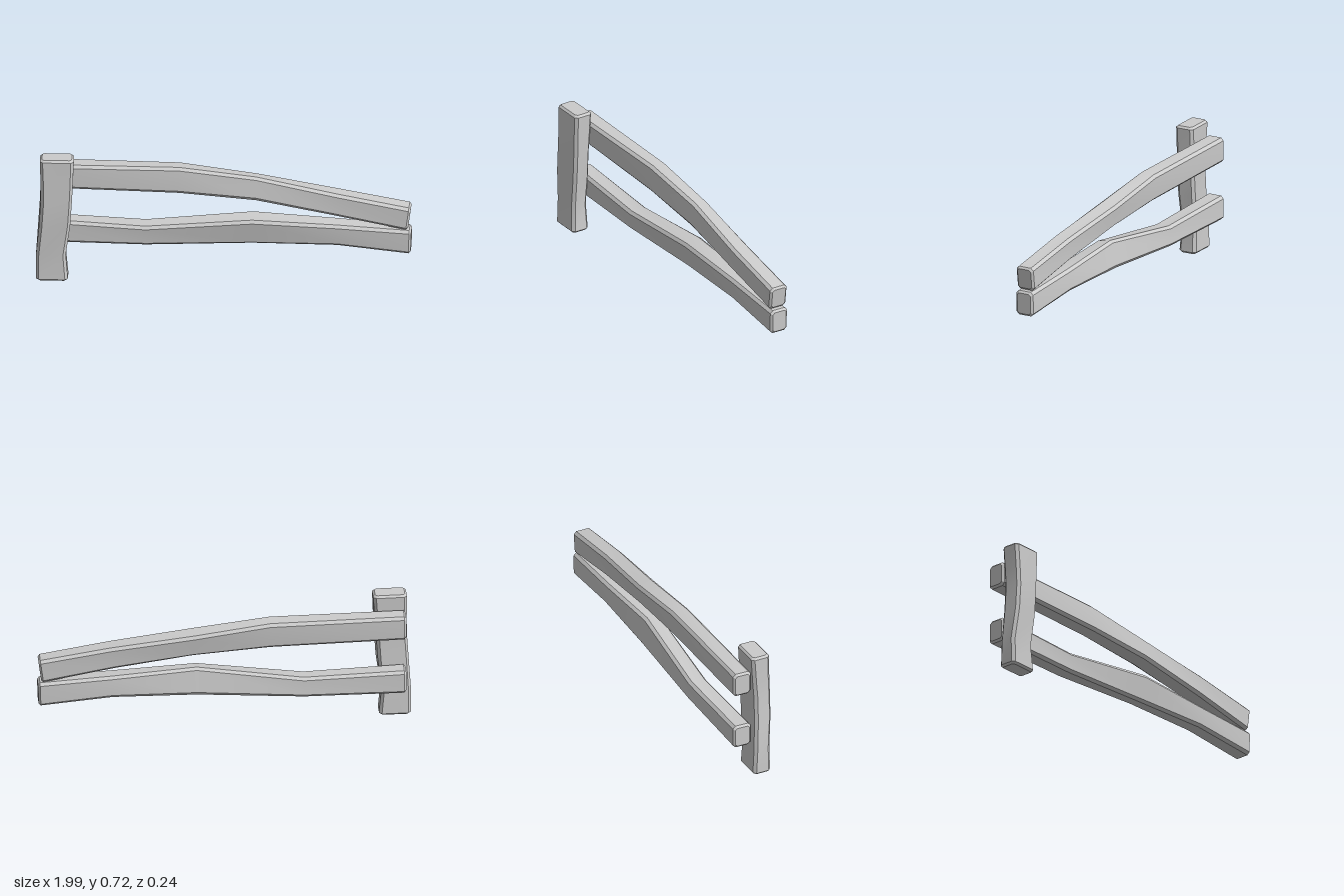
import * as THREE from 'three';
import { toCreasedNormals } from 'three/addons/utils/BufferGeometryUtils.js';

const material = new THREE.MeshStandardMaterial({ color: 0xcccccc });
const BEVEL = 0.015;

// Chamfered plank lofted through stations: { s, u, v, hu, hv, twist, tilt }
// s runs along the plank; u, v are the section centre; hu, hv its half sizes.
function plank(name, stations, place) {
  const n = stations.length;
  const rings = [];
  const addRing = (st, ds, inset) => {
    const { s, u, v, hu, hv, twist = 0, tilt = 0 } = st;
    const a = hu - inset, b = hv - inset, c = BEVEL - inset * 0.4;
    const outline = [
      [a, -b + c], [a, b - c], [a - c, b], [-a + c, b],
      [-a, b - c], [-a, -b + c], [-a + c, -b], [a - c, -b],
    ];
    const cs = Math.cos(twist), sn = Math.sin(twist);
    rings.push(outline.map(([p, q]) =>
      place(s + ds + tilt * p, u + p * cs - q * sn, v + p * sn + q * cs)));
  };
  // Bevelled start, body, bevelled end
  addRing(stations[0], 0, 0.011);
  stations.forEach((st, i) => addRing(st, i === 0 ? 0.011 : i === n - 1 ? -0.011 : 0, 0));
  addRing(stations[n - 1], 0, 0.011);

  const positions = [];
  const tri = (a, b, c) => positions.push(...a, ...b, ...c);
  for (let i = 0; i < rings.length - 1; i++) {
    for (let j = 0; j < 8; j++) {
      const k = (j + 1) % 8;
      const [A, B] = [rings[i], rings[i + 1]];
      tri(A[j], A[k], B[k]);
      tri(A[j], B[k], B[j]);
    }
  }
  // End caps
  const first = rings[0], last = rings[rings.length - 1];
  for (let j = 1; j < 7; j++) {
    tri(first[0], first[j + 1], first[j]);
    tri(last[0], last[j], last[j + 1]);
  }
  const geometry = new THREE.BufferGeometry();
  geometry.setAttribute('position', new THREE.Float32BufferAttribute(positions, 3));
  const mesh = new THREE.Mesh(toCreasedNormals(geometry, 0.45), material);
  mesh.name = name;
  return mesh;
}

const alongX = (s, u, v) => [s, u, v];
const alongY = (s, u, v) => [v, s, u];

export function createModel() {
  const group = new THREE.Group();
  group.name = 'brokenFence';

  // Upright post, slightly bent and twisted
  group.add(plank('post', [
    { s: 0, u: 0.053, v: -0.911, hu: 0.051, hv: 0.085, twist: 0.02 },
    { s: 0.15, u: 0.053, v: -0.917, hu: 0.046, hv: 0.079, twist: 0.04 },
    { s: 0.33, u: 0.06, v: -0.899, hu: 0.05, hv: 0.083, twist: 0.11 },
    { s: 0.47, u: 0.061, v: -0.89, hu: 0.05, hv: 0.083, twist: 0.11 },
    { s: 0.56, u: 0.058, v: -0.887, hu: 0.051, hv: 0.085, twist: 0.08 },
    { s: 0.716, u: 0.054, v: -0.885, hu: 0.053, hv: 0.09, twist: 0.03 },
  ], alongY));

  // Upper rail, sagging toward its free end
  group.add(plank('upperRail', [
    { s: -0.965, u: 0.568, v: -0.049, hu: 0.068, hv: 0.052 },
    { s: -0.24, u: 0.558, v: -0.06, hu: 0.073, hv: 0.05, twist: -0.08 },
    { s: 0.17, u: 0.516, v: -0.063, hu: 0.064, hv: 0.05, twist: -0.19 },
    { s: 0.6, u: 0.447, v: -0.05, hu: 0.062, hv: 0.052, twist: -0.04, tilt: 0.15 },
    { s: 0.986, u: 0.379, v: -0.049, hu: 0.065, hv: 0.052, tilt: 0.13 },
  ], alongX));

  // Lower rail, twisted in the middle
  group.add(plank('lowerRail', [
    { s: -0.965, u: 0.246, v: -0.049, hu: 0.066, hv: 0.052 },
    { s: -0.42, u: 0.234, v: -0.052, hu: 0.056, hv: 0.052, twist: 0.06 },
    { s: 0.15, u: 0.284, v: -0.048, hu: 0.076, hv: 0.053, twist: 0.2 },
    { s: 0.6, u: 0.272, v: -0.05, hu: 0.061, hv: 0.052, twist: 0.06 },
    { s: 0.994, u: 0.242, v: -0.049, hu: 0.068, hv: 0.052, tilt: 0.03 },
  ], alongX));

  return group;
}
